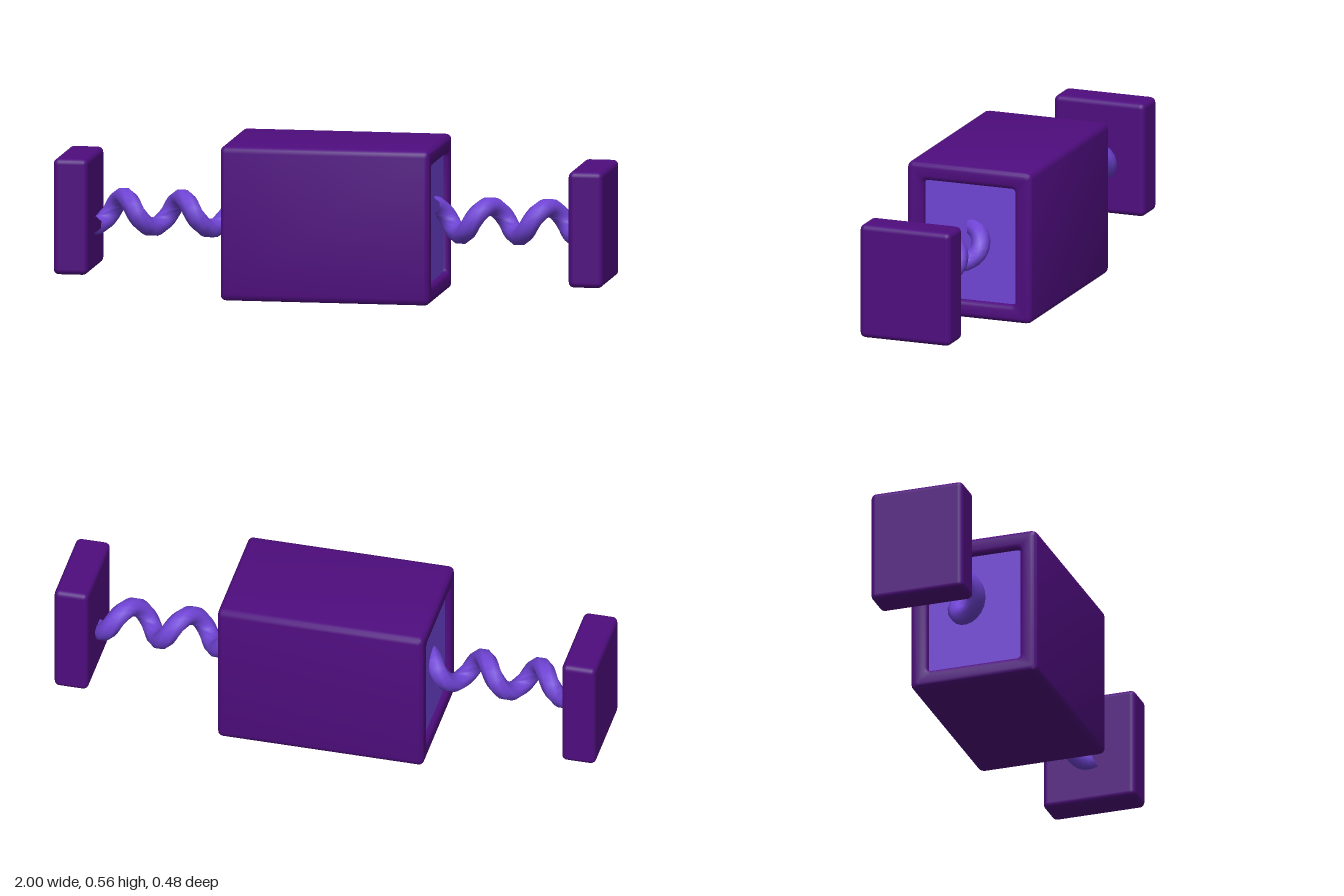
import * as THREE from 'three';
import { toCreasedNormals } from 'three/addons/utils/BufferGeometryUtils.js';
import { RoundedBoxGeometry } from 'three/addons/geometries/RoundedBoxGeometry.js';
import { ParametricGeometry } from 'three/addons/geometries/ParametricGeometry.js';

const CENTER_Y = 0.28;

// Traces a rounded rectangle centred on the origin
function roundedRect(path, w, h, r) {
  const x = w / 2, y = h / 2;
  path.moveTo(-x + r, -y);
  path.lineTo(x - r, -y);
  path.quadraticCurveTo(x, -y, x, -y + r);
  path.lineTo(x, y - r);
  path.quadraticCurveTo(x, y, x - r, y);
  path.lineTo(-x + r, y);
  path.quadraticCurveTo(-x, y, -x, y - r);
  path.lineTo(-x, -y + r);
  path.quadraticCurveTo(-x, -y, -x + r, -y);
  return path;
}

// Sleeve open at both ends, with softened rims, running along x
function sleeveGeometry() {
  const bevel = 0.018;
  const shape = roundedRect(new THREE.Shape(), 0.48, 0.56, 0.024);
  shape.holes.push(roundedRect(new THREE.Path(), 0.35, 0.43, 0.012));
  const geo = new THREE.ExtrudeGeometry(shape, {
    depth: 0.76 - 2 * bevel, curveSegments: 3,
    bevelThickness: bevel, bevelSize: bevel, bevelOffset: -bevel, bevelSegments: 3,
  });
  geo.center();
  geo.rotateY(Math.PI / 2);
  return toCreasedNormals(geo, 0.7);
}

// Coil along x whose section stays in the axial plane; side mirrors it
function springGeometry(side) {
  const start = 0.34, end = 0.89, pitch = 0.212, peak = 0.557;
  const radius = 0.052, halfWidth = 0.042, halfThick = 0.035;
  return new ParametricGeometry((u, v, target) => {
    const along = start + (end - start) * u;
    const t = (along - peak) / pitch * Math.PI * 2;
    const a = side * Math.PI * 2 * (v + 1 / 16);
    const r = radius + halfThick * Math.sin(a);
    target.set(
      side * (along + halfWidth * Math.cos(a)),
      CENTER_Y + r * Math.cos(t),
      -r * Math.sin(t)
    );
  }, 56, 8);
}

export function createModel() {
  const model = new THREE.Group();
  model.name = 'springBlock';
  const deepPurple = new THREE.MeshStandardMaterial({ color: 0x4f0d7f });
  deepPurple.name = 'deepPurple';
  const violet = new THREE.MeshStandardMaterial({ color: 0x7044d6 });
  violet.name = 'violet';

  const add = (name, geo, mat, x = 0, y = 0) => {
    const mesh = new THREE.Mesh(geo, mat);
    mesh.name = name;
    mesh.position.set(x, y, 0);
    model.add(mesh);
  };

  // Main block and the recessed panels showing at its ends
  add('body', sleeveGeometry(), deepPurple, 0, CENTER_Y);
  add('endPanels', new THREE.BoxGeometry(0.72, 0.44, 0.36), violet, 0, CENTER_Y);

  // A spring and a push plate on each side
  for (const [label, side] of [['left', 1], ['right', -1]]) {
    add(label + 'Spring', springGeometry(side), violet);
    add(label + 'Plate', new RoundedBoxGeometry(0.125, 0.42, 0.35, 3, 0.02),
      deepPurple, side * 0.9375, CENTER_Y);
  }
  return model;
}
